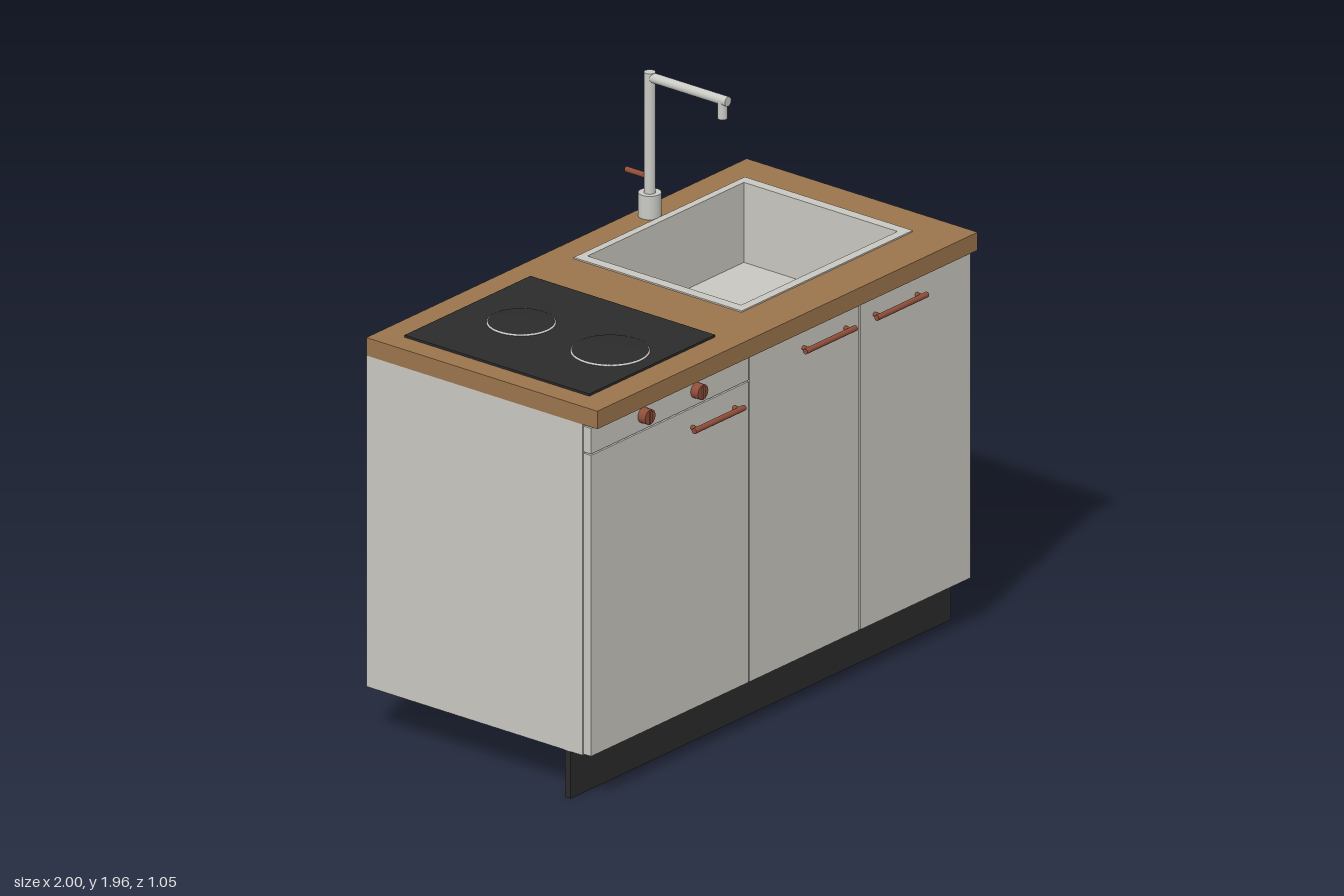
import * as THREE from 'three';
import { mergeVertices } from 'three/addons/utils/BufferGeometryUtils.js';

const mat = (name, color) => {
  const m = new THREE.MeshStandardMaterial({ color });
  m.name = name;
  return m;
};

export function createModel() {
  const root = new THREE.Group();
  root.name = 'kitchenUnit';
  const white = mat('cabinetWhite', 0xc9c7c0);
  const wood = mat('wood', 0x9a744c);
  const black = mat('black', 0x2b2b2b);
  const steel = mat('steel', 0xc9cac4);
  const copper = mat('copper', 0x8f4e39);

  const add = (name, geo, material, parent = root) => {
    const m = new THREE.Mesh(geo, material);
    m.name = name;
    parent.add(m);
    return m;
  };
  // Box given by its limits on each axis
  const box = (name, material, x0, x1, y0, y1, z0, z1, parent) => {
    const m = add(name, new THREE.BoxGeometry(x1 - x0, y1 - y0, z1 - z0), material, parent);
    m.position.set((x0 + x1) / 2, (y0 + y1) / 2, (z0 + z1) / 2);
    return m;
  };
  // Round bar between two points
  const rod = (name, material, r, a, b, parent) => {
    const p = new THREE.Vector3(...a), q = new THREE.Vector3(...b);
    const m = add(name, new THREE.CylinderGeometry(r, r, p.distanceTo(q), 24), material, parent);
    m.position.copy(p).add(q).multiplyScalar(0.5);
    m.quaternion.setFromUnitVectors(new THREE.Vector3(0, 1, 0), q.sub(p).normalize());
    return m;
  };
  // Thin disc with softened edge normals
  const softDisc = (name, r, h, x, y, z, parent) => {
    let g = new THREE.CylinderGeometry(r, r, h, 40);
    g.deleteAttribute('normal');
    g.deleteAttribute('uv');
    g = mergeVertices(g);
    g.computeVertexNormals();
    add(name, g, black, parent).position.set(x, y, z);
  };

  // Cabinet carcasses and plinths
  const t = 0.02, low = 0.17, high = 1.37, back = -0.485, front = 0.45;
  [['leftmost', -1, -0.168], ['wide', -0.168, 1]].forEach(([label, x0, x1]) => {
    const g = new THREE.Group();
    g.name = label + 'Cabinet';
    root.add(g);
    box('sidePanel', white, x0, x0 + t, low, high, back, front, g);
    box('sidePanel', white, x1 - t, x1, low, high, back, front, g);
    box('bottomPanel', white, x0 + t, x1 - t, low, low + t, back, front, g);
    box('backPanel', white, x0 + t, x1 - t, low + t, high, back + 0.01, back + 0.02, g);
    box('plinth', black, x0, x1, 0, low, 0.375, 0.4, g);
  });

  // Doors and control panel
  const dz0 = 0.453, dz1 = 0.486;
  box('ovenDoor', white, -0.998, -0.171, 0.175, 1.266, dz0, dz1);
  box('controlPanel', white, -0.998, -0.171, 1.271, 1.364, dz0, dz1);
  box('sinkDoor', white, -0.164, 0.411, 0.175, 1.364, dz0, dz1);
  box('sinkDoor', white, 0.418, 0.998, 0.175, 1.364, dz0, dz1);

  // Bar handles on short posts
  [[-0.357, 1.196], [0.228, 1.295], [0.603, 1.295]].forEach(([x, y]) => {
    const g = new THREE.Group();
    g.name = 'handle';
    g.position.set(x, y, 0);
    root.add(g);
    rod('handleBar', copper, 0.01, [-0.132, 0, 0.513], [0.132, 0, 0.513], g);
    for (const s of [-1, 1]) rod('handlePost', copper, 0.008, [s * 0.11, 0, dz1], [s * 0.11, 0, 0.513], g);
  });

  // Control knobs with a raised grip
  for (const x of [-0.725, -0.447]) {
    rod('knob', copper, 0.027, [x, 1.325, dz1], [x, 1.325, 0.518], root);
    box('knobGrip', copper, x - 0.005, x + 0.005, 1.303, 1.347, 0.518, 0.523);
  }

  // Worktop around the sink opening
  const top = 1.435;
  box('worktopLeft', wood, -1, 0, high, top, back, 0.515);
  box('worktopRight', wood, 0.83, 1, high, top, back, 0.515);
  box('worktopFront', wood, 0, 0.83, high, top, 0.315, 0.515);
  box('worktopBack', wood, 0, 0.83, high, top, back, -0.358);

  // Hob with two ringed burners
  box('hob', black, -0.917, -0.255, top, 1.443, -0.388, 0.412);
  [[-0.155, 0.113], [0.23, 0.13]].forEach(([z, r]) => {
    softDisc('burner', r, 0.006, -0.586, 1.445, z);
    const ring = add('burnerRing', new THREE.TorusGeometry(r, 0.004, 8, 48), steel);
    ring.rotation.x = -Math.PI / 2;
    ring.position.set(-0.586, 1.444, z);
  });

  // Sink: rim, walls, floor and drain
  const sink = new THREE.Group();
  sink.name = 'sink';
  root.add(sink);
  const sx0 = 0.004, sx1 = 0.826, sz0 = -0.354, sz1 = 0.311, rimTop = 1.44, floor = 1.15;
  box('rimLeft', white, -0.035, sx0, top, rimTop, -0.382, 0.345, sink);
  box('rimRight', white, sx1, 0.865, top, rimTop, -0.382, 0.345, sink);
  box('rimBack', white, sx0, sx1, top, rimTop, -0.382, sz0, sink);
  box('rimFront', white, sx0, sx1, top, rimTop, sz1, 0.345, sink);
  box('wallLeft', white, sx0 - 0.004, sx0, floor, top, sz0, sz1, sink);
  box('wallRight', white, sx1, sx1 + 0.004, floor, top, sz0, sz1, sink);
  box('wallBack', white, sx0, sx1, floor, top, sz0 - 0.004, sz0, sink);
  box('wallFront', white, sx0, sx1, floor, top, sz1, sz1 + 0.004, sink);
  box('basinFloor', white, sx0, sx1, floor - 0.01, floor, sz0, sz1, sink);
  softDisc('drain', 0.052, 0.01, 0.415, floor + 0.004, -0.02, sink);

  // Tap: base, column, spout, nozzle and lever
  const tap = new THREE.Group();
  tap.name = 'tap';
  tap.position.set(0.415, 0, -0.423);
  root.add(tap);
  rod('tapBase', steel, 0.039, [0, top, 0], [0, 1.52, 0], tap);
  rod('tapColumn', steel, 0.02, [0, 1.52, 0], [0, 1.956, 0], tap);
  rod('tapSpout', steel, 0.017, [0, 1.938, 0], [0, 1.938, 0.339], tap);
  rod('tapNozzle', steel, 0.017, [0, 1.872, 0.315], [0, 1.938, 0.315], tap);
  rod('tapLever', copper, 0.01, [0, 1.576, -0.01], [0, 1.576, -0.102], tap);

  return root;
}
